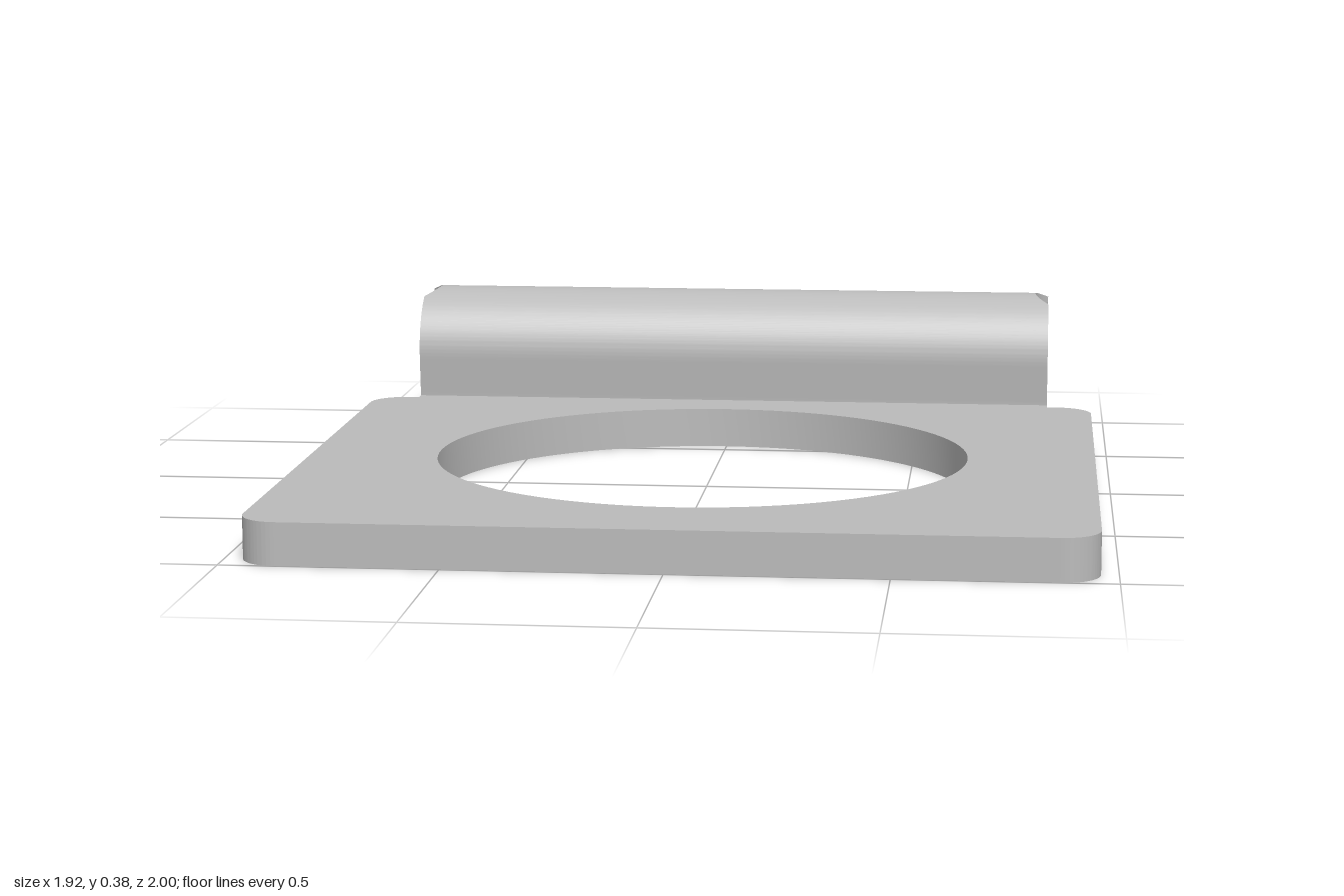
import * as THREE from 'three';
import { toCreasedNormals } from 'three/addons/utils/BufferGeometryUtils.js';

const AXIS_Y = 0.22, AXIS_Z = -0.84, BARREL_R = 0.16, HALF = 0.845;
const SOCKET_R = 0.117, TIP_R = 0.02, SOCKET_DEPTH = 0.11;

// Plate with rounded corners, a round opening and a tongue that meets the barrel
function plateGeometry() {
  const w = 0.96, front = -1, back = 0.66, tongue = 0.69, r = 0.09;
  const s = new THREE.Shape();
  s.moveTo(-w + r, front);
  s.lineTo(w - r, front);
  s.absarc(w - r, front + r, r, -Math.PI / 2, 0);
  s.lineTo(w, back - r);
  s.absarc(w - r, back - r, r, 0, Math.PI / 2);
  s.lineTo(HALF, back);
  s.lineTo(HALF, tongue);
  s.lineTo(-HALF, tongue);
  s.lineTo(-HALF, back);
  s.absarc(-w + r, back - r, r, Math.PI / 2, Math.PI);
  s.lineTo(-w, front + r);
  s.absarc(-w + r, front + r, r, Math.PI, Math.PI * 1.5);
  const hole = new THREE.Path();
  hole.absarc(0, -0.1, 0.65, 0, Math.PI * 2, true);
  s.holes.push(hole);
  const g = new THREE.ExtrudeGeometry(s, { depth: 0.1, bevelEnabled: false, curveSegments: 48 });
  g.rotateX(-Math.PI / 2);
  return toCreasedNormals(g, 0.6);
}

// Barrel cross-section around its axis: a round top blending into a straight foot
function barrelOutline() {
  const pts = [];
  const a0 = -0.089, a1 = 3.599, n = 120;
  for (let i = 0; i <= n; i++) {
    const a = a0 + (a1 - a0) * i / n;
    pts.push([BARREL_R * Math.cos(a), BARREL_R * Math.sin(a)]);
  }
  const corners = [pts[n], [-0.07, -0.22], [0.15, -0.22], [0.15, -0.12], pts[0]];
  for (let c = 0; c < 4; c++) {
    const [p, q] = [corners[c], corners[c + 1]];
    for (let k = 1; k <= 10; k++) {
      if (c === 3 && k === 10) break;
      pts.push([p[0] + (q[0] - p[0]) * k / 10, p[1] + (q[1] - p[1]) * k / 10]);
    }
  }
  return pts;
}

// How far the end face is cut in: conical socket plus a round notch from above
function endDepth(u, v) {
  const r = Math.hypot(u, v);
  const cone = SOCKET_DEPTH * THREE.MathUtils.clamp((SOCKET_R - r) / (SOCKET_R - TIP_R), 0, 1);
  const notch = v > 0 && Math.abs(u) < 0.075 ? Math.sqrt(0.098 ** 2 - u * u) - 0.063 : 0;
  return Math.max(cone, notch, 0);
}

// Barrel lofted from the left socket tip, over the side wall, to the right socket tip
function barrelGeometry() {
  const outline = barrelOutline(), m = outline.length;
  const radii = [0, TIP_R];
  for (let k = 1; k <= 10; k++) radii.push(TIP_R + (SOCKET_R - TIP_R) * k / 10);
  const makeRings = (side) => {
    const rings = radii.map((r) => outline.map(([u, v]) => {
      const d = r / Math.hypot(u, v);
      return [u * d, v * d];
    }));
    const rim = rings[rings.length - 1];
    for (let k = 1; k <= 4; k++) {
      rings.push(outline.map(([u, v], j) => [
        rim[j][0] + (u - rim[j][0]) * k / 4,
        rim[j][1] + (v - rim[j][1]) * k / 4,
      ]));
    }
    return rings.map((ring) => ring.map(([u, v]) =>
      [side * (HALF - endDepth(u, v)), AXIS_Y + v, AXIS_Z + u]));
  };
  const rings = [...makeRings(-1), ...makeRings(1).reverse()];
  const index = [];
  for (let i = 0; i < rings.length - 1; i++) {
    for (let j = 0; j < m; j++) {
      const a = i * m + j, b = i * m + (j + 1) % m;
      // skip the zero-area triangles at the two tips
      if (i < rings.length - 2) index.push(a, a + m, b + m);
      else index.push(a, a + m, b);
      if (i > 0 && i < rings.length - 2) index.push(a, b + m, b);
    }
  }
  const g = new THREE.BufferGeometry();
  g.setAttribute('position', new THREE.Float32BufferAttribute(rings.flat(2), 3));
  g.setIndex(index);
  return toCreasedNormals(g, 0.5);
}

export function createModel() {
  const grey = new THREE.MeshStandardMaterial({ color: 0xbbbbbb });
  grey.name = 'plain grey';

  const group = new THREE.Group();
  group.name = 'hingedRingPlate';
  const add = (name, geometry) => {
    const mesh = new THREE.Mesh(geometry, grey);
    mesh.name = name;
    group.add(mesh);
  };
  add('plate', plateGeometry());
  add('hingeBarrel', barrelGeometry());
  return group;
}
